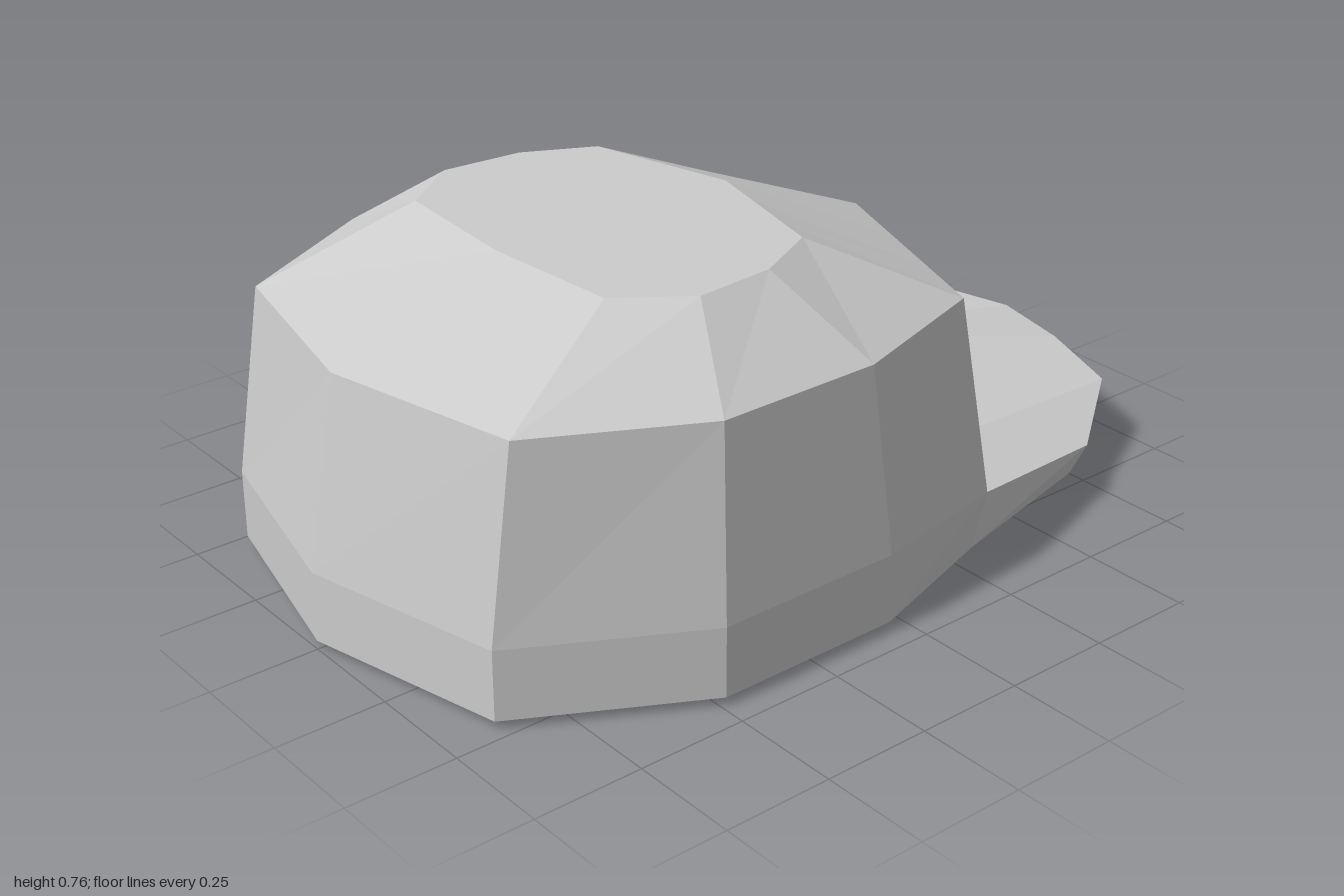
import * as THREE from 'three';

const material = new THREE.MeshStandardMaterial({ color: 0xcccccc, flatShading: true, side: THREE.DoubleSide });

// Mirrors a half outline that starts on the centre line into a full one
const mirror = half => [
  ...half.slice(1).reverse().map(([x, y, z]) => [-x, y, z]),
  ...half,
];

// Skins neighbouring outlines, listed from the lower to the upper one
function loft(name, halves) {
  const rows = halves.map(mirror), pos = [];
  const tri = (...pts) => {
    const [a, b, c] = pts.map(p => new THREE.Vector3(...p));
    if (new THREE.Triangle(a, b, c).getArea() > 1e-6) pos.push(...pts.flat());
  };
  for (let r = 0; r < rows.length - 1; r++) {
    const A = rows[r], B = rows[r + 1];
    for (let i = 0; i < A.length - 1; i++) {
      tri(A[i], A[i + 1], B[i + 1]);
      tri(A[i], B[i + 1], B[i]);
    }
  }
  const geometry = new THREE.BufferGeometry();
  geometry.setAttribute('position', new THREE.Float32BufferAttribute(pos, 3));
  geometry.computeVertexNormals();
  const mesh = new THREE.Mesh(geometry, material);
  mesh.name = name;
  return mesh;
}

// Level half ring from [x, z] points; its last edge is split to match the brim seam
function ring(y, points) {
  const [c, e] = points.slice(-2);
  const split = [0.71, 0.36].map(t => [c[0] * t, e[1] + (c[1] - e[1]) * t]);
  return [...points.slice(0, -1), ...split, e].map(([x, z]) => [x, y, z]);
}

const inset = (half, dy) => half.map(([x, y, z]) => [x * 0.89, y + dy, 0.21 + (z - 0.21) * 0.91]);
const point = (half, y, z) => half.map(() => [0, y, z]);

export function createModel() {
  const cap = new THREE.Group();
  cap.name = 'cap';

  const sideOutline = [[0, 1], [0.47, 0.89], [0.69, 0.49], [0.69, 0.05]];
  const seam = [[0.55, 0.12, -0.375], [0.39, 0.175, -0.435], [0.2, 0.215, -0.505], [0, 0.24, -0.58]];
  const brimCorner = [0.555, 0, -0.33];

  // Crown: walls, sloped shoulder and flat top
  const base = [...sideOutline.map(([x, z]) => [x, 0.18, z]), ...seam];
  const shoulder = ring(0.605, [[0, 0.925], [0.46, 0.825], [0.65, 0.465], [0.65, 0.08], [0.535, -0.285], [0, -0.475]]);
  const top = ring(0.757, [[0, 0.525], [0.33, 0.5], [0.44, 0.35], [0.425, 0.16], [0.345, 0], [0, -0.085]]);
  cap.add(loft('crown', [base, shoulder, top, point(top, 0.757, 0.22)]));

  // Lining: the same shape set inward, facing the hollow
  const underSeam = [brimCorner, [0.39, 0.105, -0.42], [0.2, 0.15, -0.49], [0, 0.175, -0.56]];
  const hem = [...sideOutline.map(([x, z]) => [x, 0.02, z]), ...underSeam];
  const innerHem = inset(hem, 0);
  const innerTop = inset(top, -0.05);
  cap.add(loft('lining', [point(top, 0.707, 0.22), innerTop, inset(shoulder, -0.03), innerHem]));

  // Band: vertical strip and hem around the sides and the rounded end
  const sides = half => half.slice(0, 5);
  cap.add(loft('band', [sides(innerHem), sides(hem), sides(base)]));

  // Brim: arched underside, edge and upper face, root corner repeated at the sides
  const flip = half => half.map(([x, y, z]) => [-x, y, z]);
  const brimRow = (edge, root) => flip([...edge, root]);
  const rootRow = half => {
    const r = half.slice(4).reverse();
    return flip([...r, r[3]]);
  };
  const brimUnder = brimRow([[0, 0.14, -0.97], [0.19, 0.133, -0.945], [0.38, 0.115, -0.9], [0.51, 0.045, -0.69]], brimCorner);
  const brimOver = brimRow([[0, 0.2, -1], [0.19, 0.192, -0.97], [0.39, 0.168, -0.92], [0.525, 0.11, -0.725]], seam[0]);
  cap.add(loft('brim', [rootRow(innerHem), brimUnder, brimOver, rootRow(base)]));

  return cap;
}
